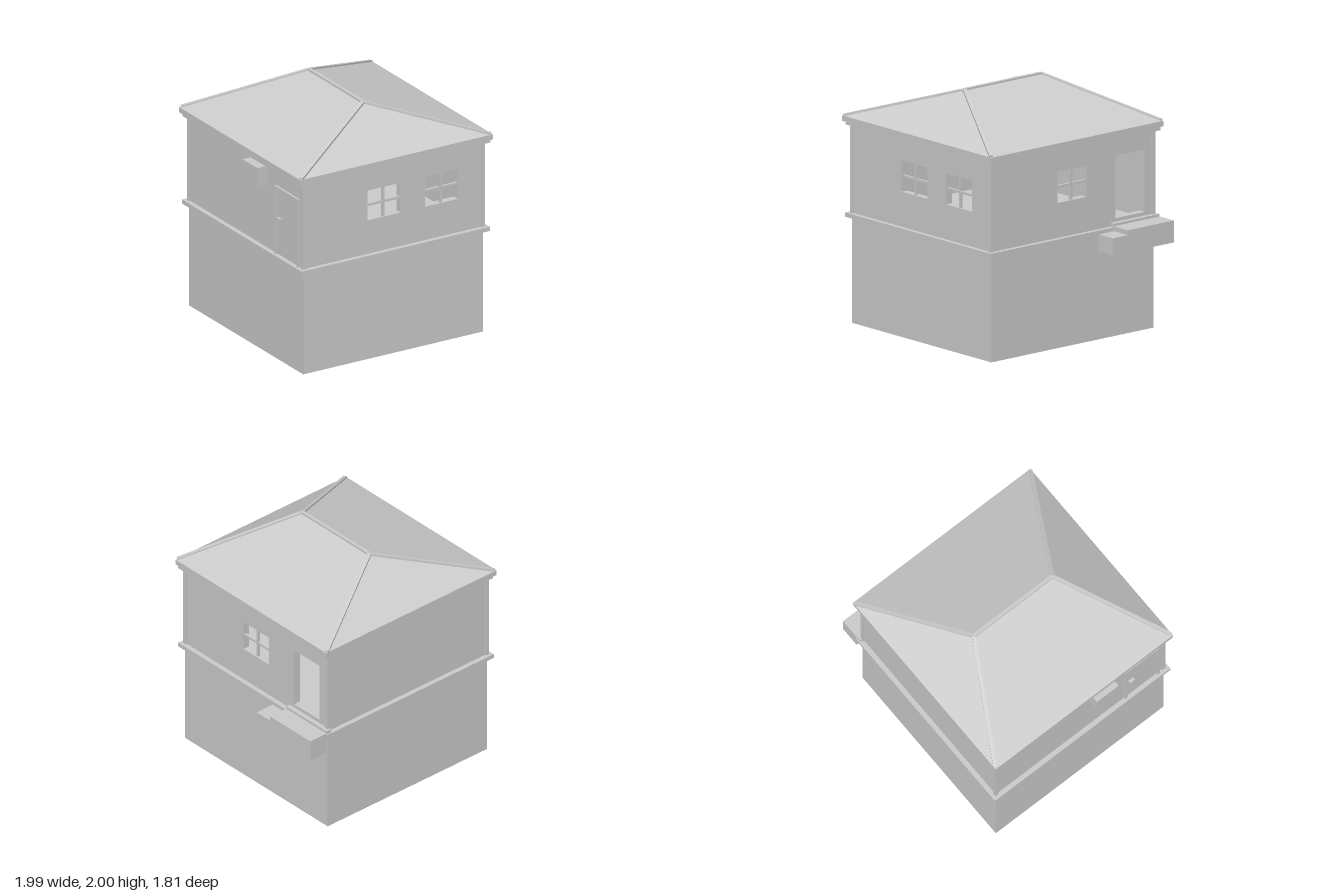
import * as THREE from 'three';

export function createModel() {
  const house = new THREE.Group();
  house.name = 'house';
  const grey = new THREE.MeshStandardMaterial({ color: 0xcccccc });
  grey.name = 'plain grey';

  const add = (name, geometry, parent = house) => {
    const mesh = new THREE.Mesh(geometry, grey);
    mesh.name = name;
    parent.add(mesh);
    return mesh;
  };
  // Box given by its limits on each axis
  const block = (name, x0, x1, y0, y1, z0, z1, parent = house) => {
    const mesh = add(name, new THREE.BoxGeometry(x1 - x0, y1 - y0, z1 - z0), parent);
    mesh.position.set((x0 + x1) / 2, (y0 + y1) / 2, (z0 + z1) / 2);
    return mesh;
  };

  const L = -0.9, R = 0.78, D = 0.85, T = 0.06; // wall limits and thickness
  const Y0 = 0.9, Y1 = 1.62;

  // Lower storey and the ledge around it
  block('base', L, R, 0, 0.87, -D, D);
  block('ledge', -0.94, 0.82, 0.865, 0.9, -0.89, 0.89);

  // Wall with openings [u0, u1, y0, y1], its outer face at local z = 0
  const wall = (name, u0, u1, openings) => {
    const rect = (path, a, b, c, d) => path.moveTo(a, c).lineTo(b, c).lineTo(b, d).lineTo(a, d).closePath();
    const shape = rect(new THREE.Shape(), u0, u1, Y0, Y1);
    openings.forEach((o) => shape.holes.push(rect(new THREE.Path(), ...o)));
    const geometry = new THREE.ExtrudeGeometry(shape, { depth: T, bevelEnabled: false });
    geometry.translate(0, 0, -T);
    const group = new THREE.Group();
    group.name = name;
    add(name + 'Panel', geometry, group);
    house.add(group);
    return group;
  };
  const glazingBars = (group, [a, b, c, d]) => {
    const u = (a + b) / 2, y = (c + d) / 2;
    block('uprightBar', u - 0.01, u + 0.01, c, d, -0.03, -0.01, group);
    block('crossBar', a, b, y - 0.01, y + 0.01, -0.03, -0.01, group);
  };

  // Upper storey walls
  const frontWindows = [[-0.3, 0.01, 1.185, 1.44], [0.235, 0.545, 1.185, 1.44]];
  const sideWindow = [-0.155, 0.15, 1.185, 1.44];
  const front = wall('frontWall', L, R, frontWindows);
  front.position.z = D;
  frontWindows.forEach((w) => glazingBars(front, w));
  const side = wall('leftWall', -D + T, D - T, [sideWindow, [0.45, 0.755, 0.96, 1.47]]);
  side.rotation.y = Math.PI / 2;
  side.position.x = R;
  glazingBars(side, sideWindow);
  block('backWall', L, R, Y0, Y1, -D, -D + T);
  block('rightWall', L, L + T, Y0, Y1, -D + T, D - T);

  // L-shaped corner trims
  for (const sz of [-1, 1]) {
    for (const [x, sx] of [[L, -1], [R, 1]]) {
      const a = x + sx * 0.012, b = x - sx * 0.02;
      const z0 = sz * 0.83, z1 = sz * 0.862;
      block('cornerTrim', Math.min(a, b), Math.max(a, b), Y0, Y1, Math.min(z0, z1), Math.max(z0, z1));
    }
  }

  // Doorstep, threshold and lower step
  block('threshold', 0.77, 0.82, 0.9, 0.93, -0.88, -0.4);
  block('doorstep', 0.82, 0.99, 0.73, 0.91, -0.88, -0.4);
  block('lowerStep', 0.82, 0.99, 0.73, 0.87, -0.4, -0.24);

  // Side door with frame and handle, and the wall box next to it
  block('door', L - 0.005, L, 0.91, 1.46, 0.47, 0.78);
  for (const z of [0.45, 0.78]) block('doorFrame', L - 0.018, L, 0.9, 1.48, z, z + 0.02);
  block('doorFrameTop', L - 0.018, L, 1.46, 1.48, 0.47, 0.78);
  block('doorHandle', L - 0.03, L - 0.005, 1.212, 1.224, 0.49, 0.54);
  block('wallBox', -0.995, L, 1.435, 1.6, 0.1, 0.32);

  // Eaves
  block('eaveBand', -0.94, 0.83, 1.615, 1.645, -0.88, 0.88);
  block('fascia', -0.96, 0.84, 1.645, 1.69, -0.9, 0.9);

  // Hipped roof
  const corner = (x, z) => new THREE.Vector3(x, 1.69, z);
  const fl = corner(-0.96, 0.9), fr = corner(0.84, 0.9), br = corner(0.84, -0.9), bl = corner(-0.96, -0.9);
  const rf = new THREE.Vector3(-0.06, 1.99, 0.4), rb = new THREE.Vector3(-0.06, 1.99, -0.4);
  const faces = [fl, fr, rf, br, bl, rb, fr, br, rb, fr, rb, rf, bl, fl, rf, bl, rf, rb];
  const roof = new THREE.BufferGeometry().setFromPoints(faces);
  roof.computeVertexNormals();
  add('roof', roof);

  // Raised strips along the ridge and hips
  const strip = (name, a, b) => {
    const mesh = add(name, new THREE.BoxGeometry(0.03, 0.02, a.distanceTo(b)));
    mesh.position.copy(a).add(b).multiplyScalar(0.5);
    mesh.lookAt(b);
  };
  strip('ridgeCap', rb, rf);
  for (const [c, r] of [[fl, rf], [fr, rf], [bl, rb], [br, rb]]) {
    // start slightly inside the corner so the strip stays on the roof
    strip('hipCap', c.clone().lerp(r, 0.015), r);
  }
  return house;
}
